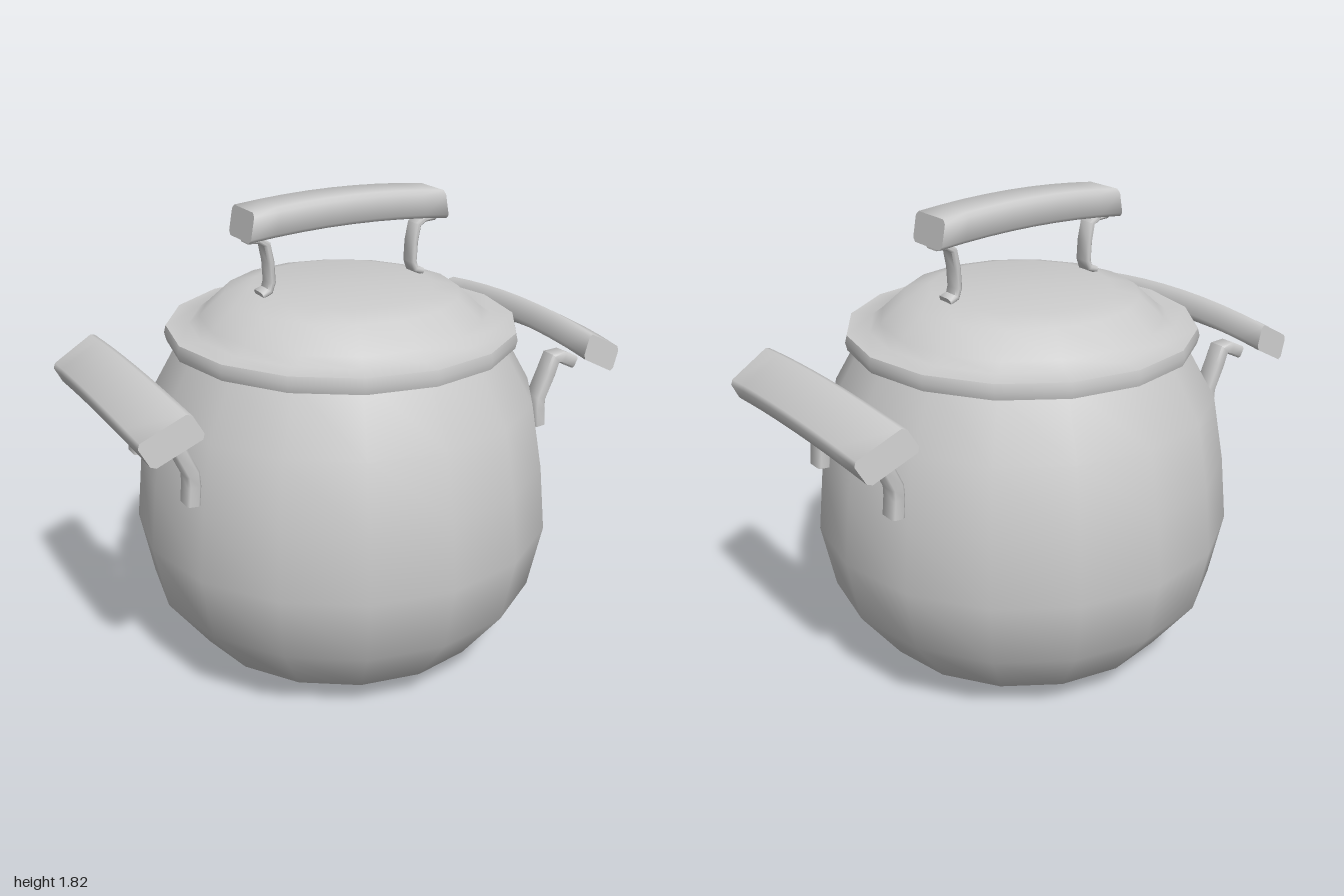
import * as THREE from 'three';
import { toCreasedNormals } from 'three/addons/utils/BufferGeometryUtils.js';

const material = new THREE.MeshStandardMaterial({ color: 0xcccccc, side: THREE.DoubleSide });

function mesh(name, geometry) {
  const m = new THREE.Mesh(geometry, material);
  m.name = name;
  return m;
}

// Round part with 16 sides from a [radius, height] profile, bottom to top
function turned(name, profile, crease) {
  const geo = new THREE.LatheGeometry(profile.map(([r, y]) => new THREE.Vector2(r, y)), 16);
  return mesh(name, crease ? toCreasedNormals(geo, crease) : geo);
}

// Skin over a list of rings (arrays of Vector3), closed at both ends
function loft(rings, crease) {
  const n = rings[0].length, pos = [], index = [];
  rings.forEach(r => r.forEach(p => pos.push(p.x, p.y, p.z)));
  for (let i = 0; i < rings.length - 1; i++) {
    for (let j = 0; j < n; j++) {
      const a = i * n + j, b = i * n + (j + 1) % n;
      index.push(a, b, a + n, b, b + n, a + n);
    }
  }
  const last = (rings.length - 1) * n;
  for (let j = 1; j < n - 1; j++) {
    index.push(0, j + 1, j, last, last + j, last + j + 1);
  }
  const geo = new THREE.BufferGeometry();
  geo.setAttribute('position', new THREE.Float32BufferAttribute(pos, 3));
  geo.setIndex(index);
  return toCreasedNormals(geo, crease);
}

// Rectangle with cut corners, as [u, v] half sizes, counterclockwise
function section(u, v, c) {
  return [[u, -v + c], [u, v - c], [u - c, v], [-u + c, v],
    [-u, v - c], [-u, -v + c], [-u + c, -v], [u - c, -v]];
}

// Arched grip along x; skewY and skewZ shorten its upper and outer edges
function grip(halfLength, halfHeight, halfWidth, rise, skewY, skewZ) {
  const rings = [];
  for (let i = 0; i <= 8; i++) {
    const t = i / 4 - 1;
    rings.push(section(halfHeight, halfWidth, 0.014).map(([y, z]) => new THREE.Vector3(
      t * (halfLength - skewY * y - skewZ * z), y + rise * (1 - t * t), z)));
  }
  return mesh('grip', loft(rings, 0.9));
}

// Bent strap following [x, y] points, given thickness and width along z
function bracket(path, thickness, width) {
  const pts = path.map(([x, y]) => new THREE.Vector3(x, y, 0));
  const rings = pts.map((p, i) => {
    const t = pts[Math.min(i + 1, pts.length - 1)].clone()
      .sub(pts[Math.max(i - 1, 0)]).normalize();
    return section(thickness / 2, width / 2, 0.008).map(([u, v]) =>
      new THREE.Vector3(p.x - t.y * u, p.y + t.x * u, v));
  });
  return mesh('bracket', loft(rings, 0.9));
}

export function createModel() {
  const pot = new THREE.Group();
  pot.name = 'cookingPot';

  // Bulging body with a rounded base
  pot.add(turned('body', [[0, 0], [0.32, 0.03], [0.59, 0.11], [0.75, 0.32], [0.8, 0.57],
    [0.775, 0.82], [0.73, 1.07], [0.6, 1.3]]));

  // Lid with a flat rim and a raised crown
  pot.add(turned('lid', [[0, 1.29], [0.57, 1.29], [0.6, 1.28], [0.655, 1.28], [0.662, 1.31],
    [0.655, 1.338], [0.57, 1.34], [0.53, 1.37], [0.44, 1.452], [0.34, 1.476], [0, 1.476]], 0.8));

  // Lid handle on two brackets
  const lidHandle = new THREE.Group();
  lidHandle.name = 'lidHandle';
  const top = grip(0.4, 0.053, 0.09, 0.022, 0.18, 0);
  top.position.y = 1.743;
  lidHandle.add(top);
  for (const turn of [0, Math.PI]) {
    const leg = bracket([[0.39, 1.688], [0.345, 1.685], [0.315, 1.665], [0.302, 1.6],
      [0.298, 1.525], [0.308, 1.495], [0.34, 1.482]], 0.026, 0.07);
    leg.rotation.y = turn;
    lidHandle.add(leg);
  }
  pot.add(lidHandle);

  // Side handles: tilted grip on two brackets, the right one turned half round
  for (const [name, turn] of [['leftHandle', 0], ['rightHandle', Math.PI]]) {
    const handle = new THREE.Group();
    handle.name = name;
    const tilt = new THREE.Group();
    tilt.name = 'tiltedGrip';
    tilt.position.set(0.885, 1.205, 0);
    tilt.rotation.z = -0.48;
    const bar = grip(0.462, 0.049, 0.1, 0.03, 0.2, 0.16);
    bar.rotation.y = Math.PI / 2;
    bar.position.y = -0.014;
    tilt.add(bar);
    handle.add(tilt);
    for (const z of [-0.257, 0.257]) {
      const leg = bracket([[0.9, 1.098], [0.845, 1.125], [0.805, 1.128], [0.783, 1.07],
        [0.74, 0.975], [0.738, 0.93], [0.745, 0.858]], 0.05, 0.075);
      leg.position.z = z;
      handle.add(leg);
    }
    handle.rotation.y = turn;
    pot.add(handle);
  }
  return pot;
}
